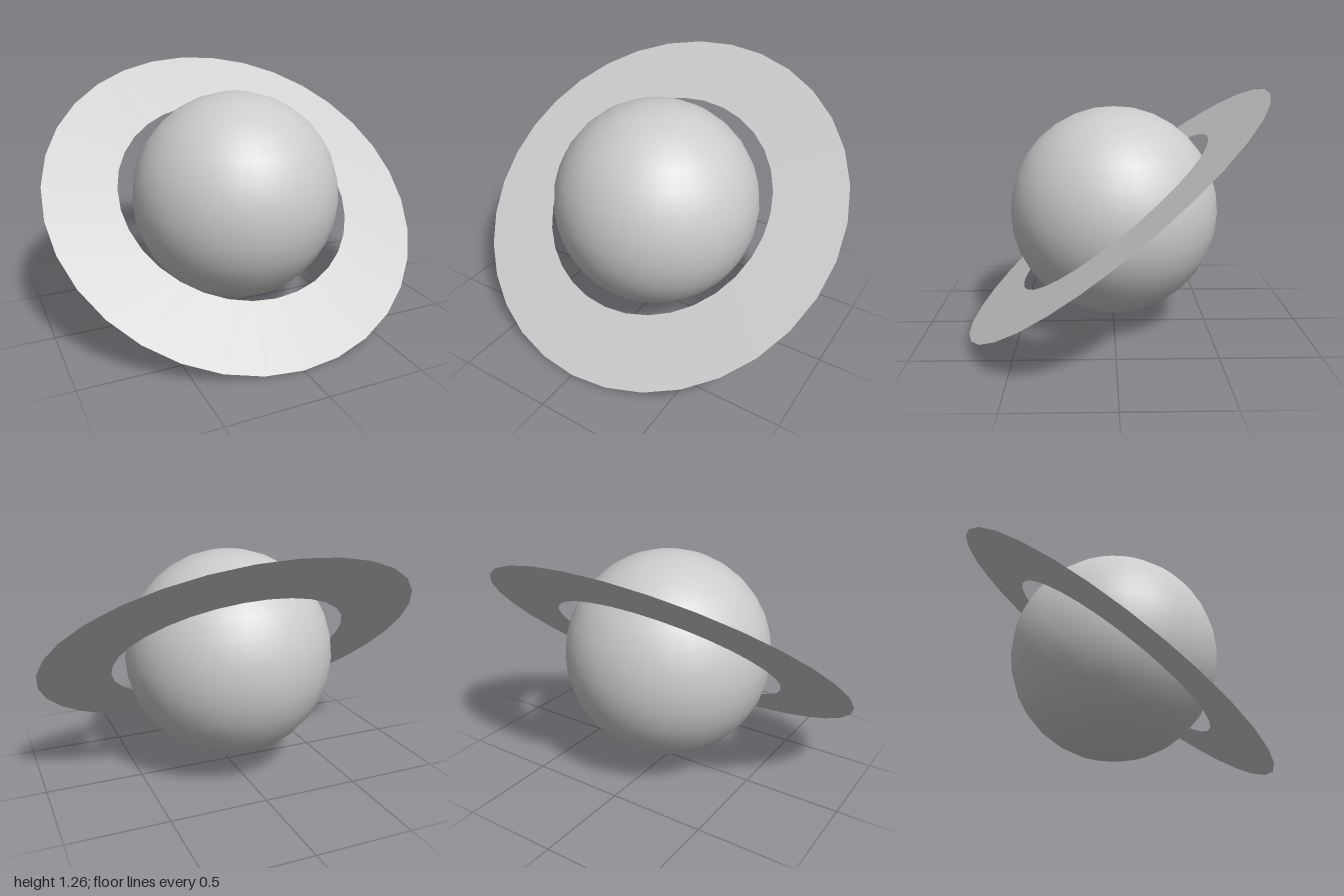
import * as THREE from 'three';

const CENTRE_Y = 0.635;
const RING_TILT = THREE.MathUtils.degToRad(39.1); // front edge dips, back edge rises

export function createModel() {
  const model = new THREE.Group();
  model.name = 'ringedPlanet';

  // Smooth globe
  const globe = new THREE.Mesh(
    new THREE.SphereGeometry(0.545, 32, 16),
    new THREE.MeshStandardMaterial({ color: 0xcccccc })
  );
  globe.name = 'globe';
  globe.position.y = CENTRE_Y;
  model.add(globe);

  // Paper-thin flat ring, visible from both faces
  const ring = new THREE.Mesh(
    new THREE.RingGeometry(0.625, 1, 32),
    new THREE.MeshStandardMaterial({ color: 0xcccccc, side: THREE.DoubleSide })
  );
  ring.name = 'ring';
  ring.rotation.x = -Math.PI / 2 + RING_TILT;
  ring.position.y = CENTRE_Y;
  model.add(ring);

  return model;
}
